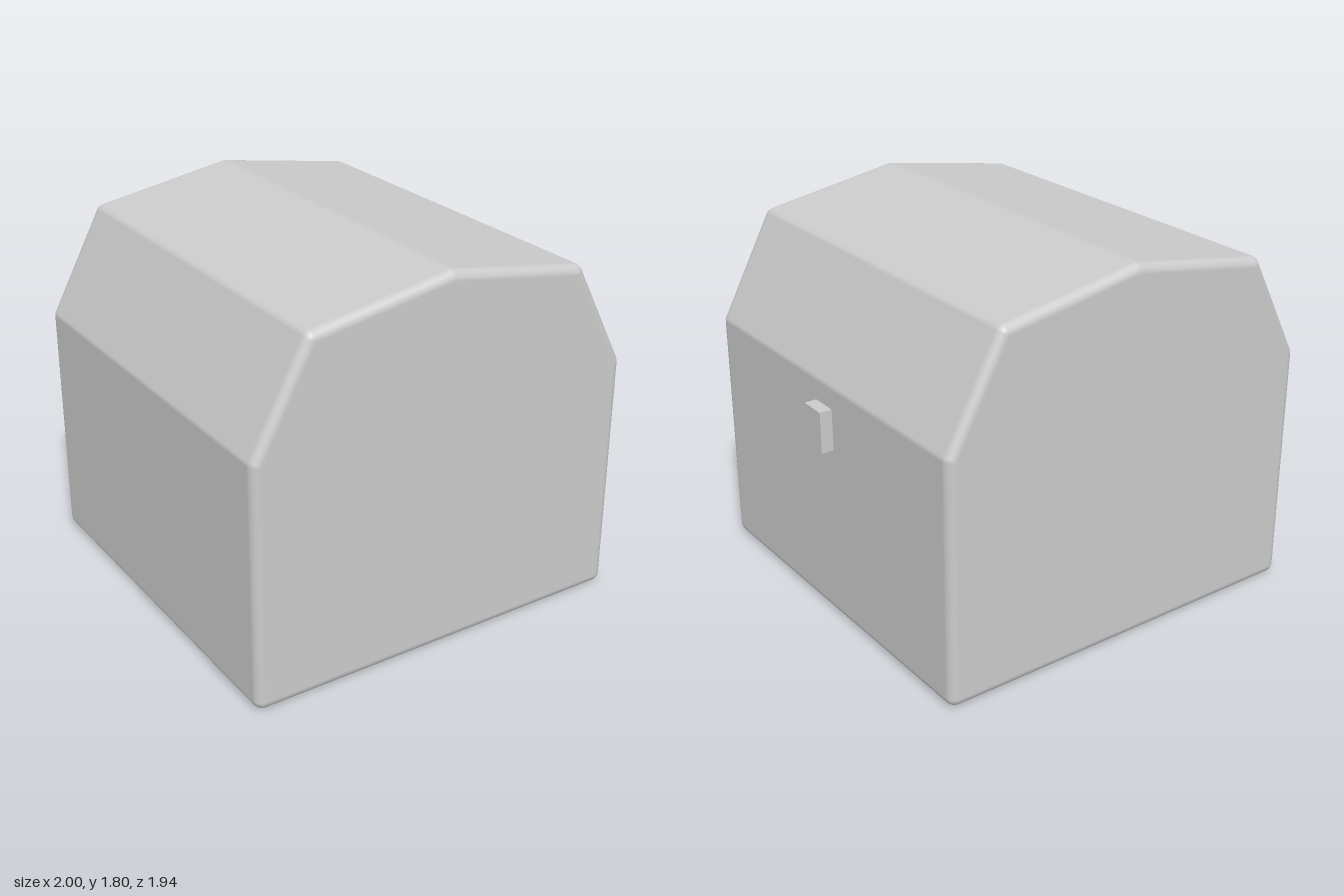
import * as THREE from 'three';

const RADIUS = 0.045;   // softened edge radius
const STEPS = 4;        // segments per rounded edge
const HALF_DEPTH = 0.97;

// Barn-shaped end outline, counter-clockwise, before rounding
const half = [[0.97, 0], [0.97, 1.18], [0.70, 1.685]];
const mirrored = half.map(([x, y]) => [-x, y]).reverse();
const outline = [...half, [0, 1.802], ...mirrored].map(([x, y]) => new THREE.Vector2(x, y));

// Each corner becomes an arc around its inset point; returns centre and outward normal pairs
function roundedOutline(points, radius) {
  const n = points.length;
  const edgeNormal = (i) => {
    const d = points[(i + 1) % n].clone().sub(points[i]).normalize();
    return new THREE.Vector2(d.y, -d.x);
  };
  const ring = [];
  points.forEach((p, i) => {
    const n0 = edgeNormal((i + n - 1) % n);
    const n1 = edgeNormal(i);
    const inset = n0.clone().add(n1).multiplyScalar(radius / (1 + n0.dot(n1)));
    const centre = p.clone().sub(inset);
    const turn = Math.acos(THREE.MathUtils.clamp(n0.dot(n1), -1, 1));
    for (let s = 0; s <= STEPS; s++) {
      const normal = n0.clone().rotateAround(new THREE.Vector2(), (turn * s) / STEPS);
      ring.push({ centre, normal });
    }
  });
  return ring;
}

// Prism with every edge rounded and exact smooth normals
function roundedPrism(points, halfDepth, radius) {
  const ring = roundedOutline(points, radius);
  const count = ring.length;
  const positions = [], normals = [], index = [];

  // Cross-sections from back to front
  const rows = 2 * (STEPS + 1);
  for (let k = 0; k < rows; k++) {
    const front = k > STEPS;
    const step = front ? k - STEPS - 1 : k - STEPS;
    const angle = (step / STEPS) * Math.PI / 2;
    const c = Math.cos(angle), s = Math.sin(angle);
    const z = (front ? 1 : -1) * (halfDepth - radius) + radius * s;
    for (const { centre, normal } of ring) {
      positions.push(centre.x + radius * c * normal.x, centre.y + radius * c * normal.y, z);
      normals.push(normal.x * c, normal.y * c, s);
    }
  }
  for (let k = 0; k < rows - 1; k++) {
    for (let j = 0; j < count; j++) {
      const next = (j + 1) % count;
      const a = k * count + j, b = k * count + next;
      const d = a + count, e = b + count;
      index.push(a, b, e, a, e, d);
    }
  }

  // Flat end walls
  for (const side of [-1, 1]) {
    const hub = positions.length / 3;
    const start = side > 0 ? (rows - 1) * count : 0;
    positions.push(0, 0.8, side * halfDepth);
    normals.push(0, 0, side);
    for (let j = 0; j < count; j++) {
      const a = start + j, b = start + (j + 1) % count;
      if (side > 0) index.push(hub, a, b);
      else index.push(hub, b, a);
    }
  }

  const geometry = new THREE.BufferGeometry();
  geometry.setAttribute('position', new THREE.Float32BufferAttribute(positions, 3));
  geometry.setAttribute('normal', new THREE.Float32BufferAttribute(normals, 3));
  geometry.setIndex(index);
  return geometry;
}

export function createModel() {
  const group = new THREE.Group();
  const material = new THREE.MeshStandardMaterial({ color: 0xcccccc });

  // Main body with its four-pitch roof
  const body = new THREE.Mesh(roundedPrism(outline, HALF_DEPTH, RADIUS), material);
  body.name = 'body';
  body.position.x = -0.03;
  group.add(body);

  // Small block on the left wall, slightly sunk into it
  const sideTab = new THREE.Mesh(new THREE.BoxGeometry(0.08, 0.2, 0.134), material);
  sideTab.name = 'sideTab';
  sideTab.position.set(0.96, 0.973, 0);
  group.add(sideTab);

  return group;
}
